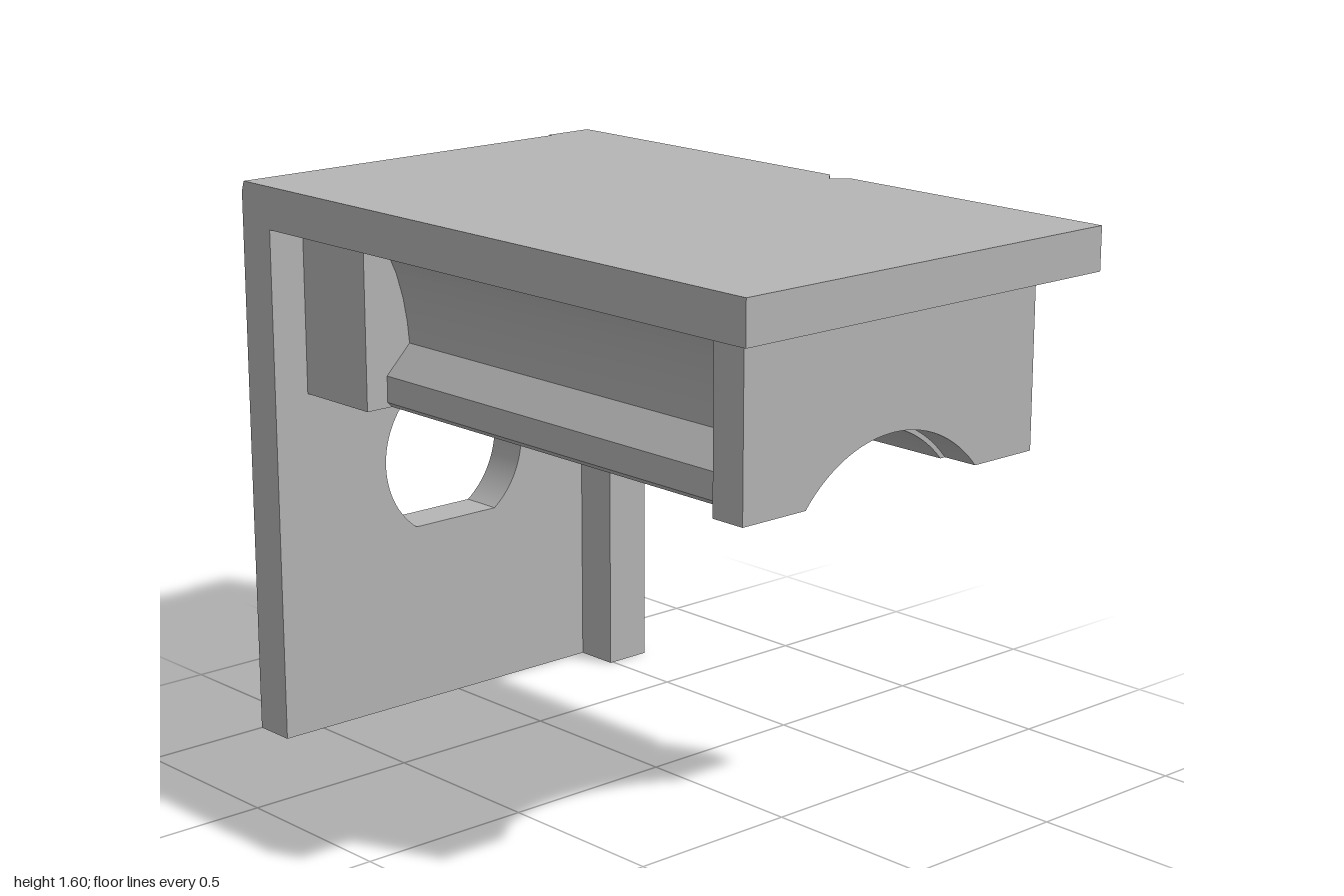
import * as THREE from 'three';
import { toCreasedNormals } from 'three/addons/utils/BufferGeometryUtils.js';

const HALF = 0.63;      // half width of slab and back plate
const AXIS_Y = 0.742;   // common centre of the hole and the arch
const TOP = 1.48;       // underside of the slab

const grey = new THREE.MeshStandardMaterial({ color: 0xb5b5b5 });
grey.name = 'plain grey';

function add(group, name, geometry) {
  const mesh = new THREE.Mesh(geometry, grey);
  mesh.name = name;
  group.add(mesh);
  return mesh;
}

// Extrude an x-y outline from z0 to z1
function extrude(shape, z0, z1) {
  const geo = new THREE.ExtrudeGeometry(shape, { depth: z1 - z0, bevelEnabled: false, curveSegments: 48 });
  geo.translate(0, 0, z0);
  return toCreasedNormals(geo, 0.4);
}

function box(x0, x1, y0, y1, z0, z1) {
  const geo = new THREE.BoxGeometry(x1 - x0, y1 - y0, z1 - z0);
  return geo.translate((x0 + x1) / 2, (y0 + y1) / 2, (z0 + z1) / 2);
}

// Close a symmetric outline along y = 1 with an arch of the given radius
function archedShape(rightSide, radius) {
  const shape = new THREE.Shape();
  const a = Math.asin((1 - AXIS_Y) / radius);
  const left = rightSide.map(([x, y]) => [-x, y]).reverse();
  shape.moveTo(radius * Math.cos(a), 1);
  for (const [x, y] of [...rightSide, ...left]) shape.lineTo(x, y);
  shape.lineTo(-radius * Math.cos(a), 1);
  shape.absarc(0, AXIS_Y, radius, Math.PI - a, a, true);
  return shape;
}

export function createModel() {
  const model = new THREE.Group();
  model.name = 'bracket';

  // Top slab with a small V notch in its left edge
  const slab = new THREE.Shape([
    [-HALF, 0.875], [-HALF, -1], [HALF, -1], [HALF, -0.11],
    [0.585, -0.067], [HALF, -0.025], [HALF, 0.875],
  ].map(([x, y]) => new THREE.Vector2(x, y)));
  const slabGeo = new THREE.ExtrudeGeometry(slab, { depth: 1.6 - TOP, bevelEnabled: false });
  slabGeo.rotateX(-Math.PI / 2).translate(0, TOP, 0);
  add(model, 'topSlab', slabGeo);

  // Back plate with a teardrop hole
  const plate = new THREE.Shape();
  plate.moveTo(-HALF, 0).lineTo(HALF, 0).lineTo(HALF, 1.57).lineTo(-HALF, 1.57).closePath();
  const hole = new THREE.Path();
  const r = 0.253, tip = 0.31;
  const half = Math.acos(r / tip);
  hole.moveTo(0, AXIS_Y - tip);
  hole.absarc(0, AXIS_Y, r, -Math.PI / 2 + half, 1.5 * Math.PI - half, false);
  hole.closePath();
  plate.holes.push(hole);
  add(model, 'backPlate', extrude(plate, -1, -0.875));

  // Upper edge of the back plate, slightly chamfered for most of its width
  const edge = new THREE.Shape([
    [0.875, 1.57], [1, 1.57], [0.99, 1.6], [0.875, 1.6],
  ].map(([x, y]) => new THREE.Vector2(x, y)));
  const edgeGeo = new THREE.ExtrudeGeometry(edge, { depth: 0.48 + HALF, bevelEnabled: false });
  edgeGeo.rotateY(Math.PI / 2).translate(-HALF, 0, 0);
  // the profile's x axis now points to -z
  add(model, 'chamferedEdge', edgeGeo);
  add(model, 'squareEdge', box(0.48, HALF, 1.57, 1.6, -1, -0.875));

  // Stiffening rib down one side of the back plate
  add(model, 'sideRib', box(0.49, HALF, 0, TOP, -0.875, -0.745));

  // Cradle end blocks
  const block = archedShape([[0.52, 1], [0.52, TOP]], 0.401);
  add(model, 'frontBlock', extrude(block, 0.775, 0.88));
  add(model, 'rearBlock', extrude(block, -0.875, -0.6));

  // Cradle body: foot ledge, hollow curved flank, flare under the slab
  const body = archedShape([
    [0.435, 1], [0.45, 1.015], [0.45, 1.09], [0.37, 1.17],
    [0.376, 1.23], [0.389, 1.3], [0.41, 1.37], [0.435, 1.425], [0.46, 1.455], [0.52, TOP],
  ], 0.388);
  add(model, 'cradleBody', extrude(body, -0.6, 0.775));

  return model;
}
